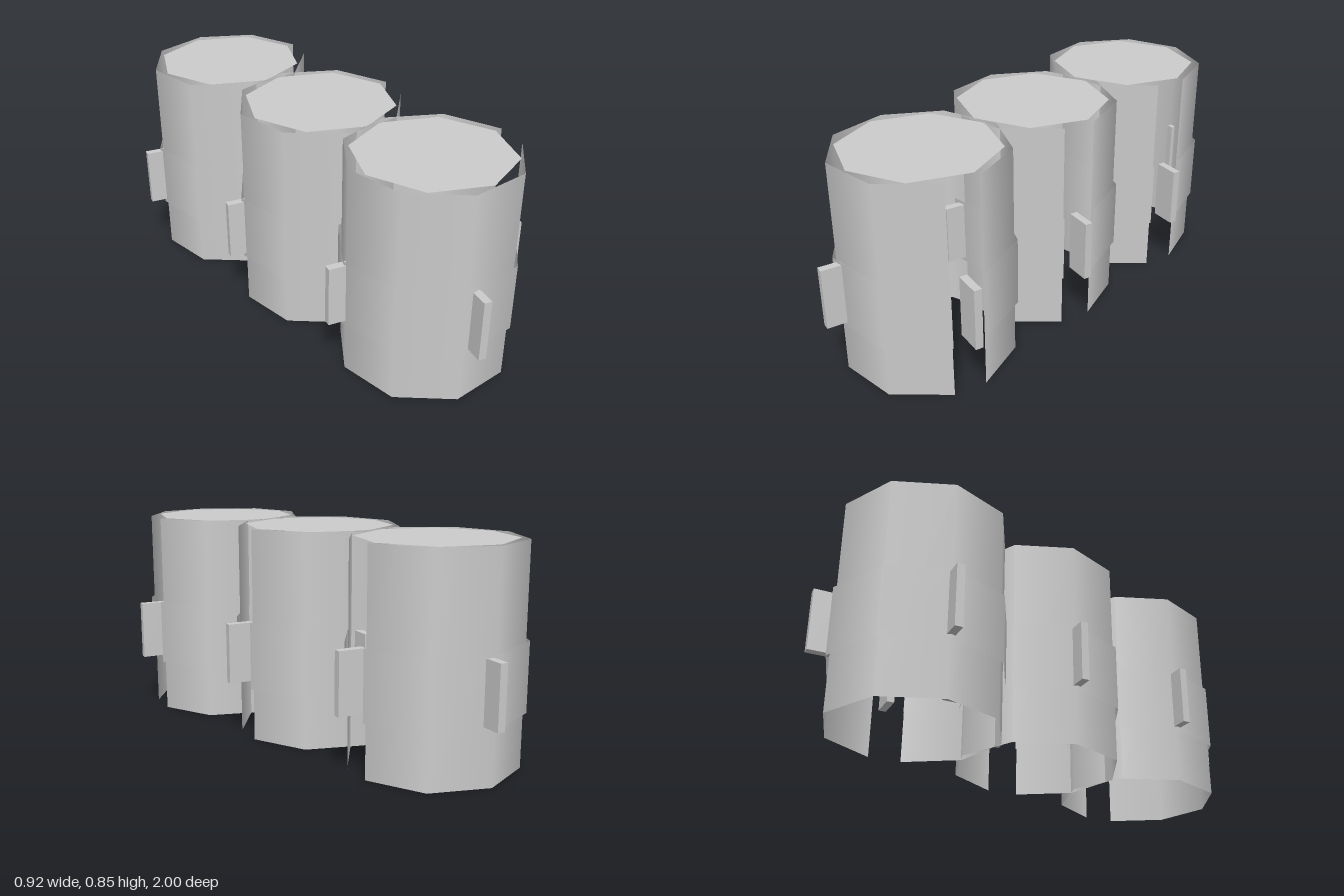
import * as THREE from 'three';

const RAD = Math.PI / 180;
const HEIGHT = 0.845;

export function createModel() {
  const grey = new THREE.MeshStandardMaterial({ color: 0xcccccc, side: THREE.DoubleSide });
  grey.name = 'plain grey';

  const add = (parent, name, geometry, x = 0, y = 0, z = 0) => {
    const mesh = new THREE.Mesh(geometry, grey);
    mesh.name = name;
    mesh.position.set(x, y, z);
    parent.add(mesh);
    return mesh;
  };

  // Open eight-sided sleeve with a narrow slot on the +x side
  const sleeve = (radius, height) =>
    new THREE.CylinderGeometry(radius, radius, height, 8, 1, true, 90 * RAD, 337.5 * RAD);

  const wallGeometry = sleeve(0.33, HEIGHT);
  const bandGeometry = sleeve(0.343, 0.27);
  const lidGeometry = new THREE.CircleGeometry(0.3, 8).rotateX(-Math.PI / 2);
  const finGeometry = new THREE.BoxGeometry(0.03, 0.24, 0.105);

  function createCanister() {
    const canister = new THREE.Group();
    canister.name = 'canister';
    add(canister, 'wall', wallGeometry, 0, HEIGHT / 2, 0);
    add(canister, 'band', bandGeometry, 0, 0.347, 0);
    add(canister, 'lid', lidGeometry, 0, HEIGHT - 0.001, 0);

    // Four radial fins, the first one centred in the slot
    for (let i = 0; i < 4; i++) {
      const a = (78.75 + i * 90) * RAD;
      add(canister, 'fin', finGeometry, 0.352 * Math.sin(a), 0.35, 0.352 * Math.cos(a)).rotation.y = a;
    }
    return canister;
  }

  // Three canisters in a slightly slanted row
  const model = new THREE.Group();
  model.name = 'canisterRow';
  for (const i of [-1, 0, 1]) {
    const canister = createCanister();
    canister.position.set(0.06 * i, 0, 0.6 * i);
    model.add(canister);
  }
  return model;
}
